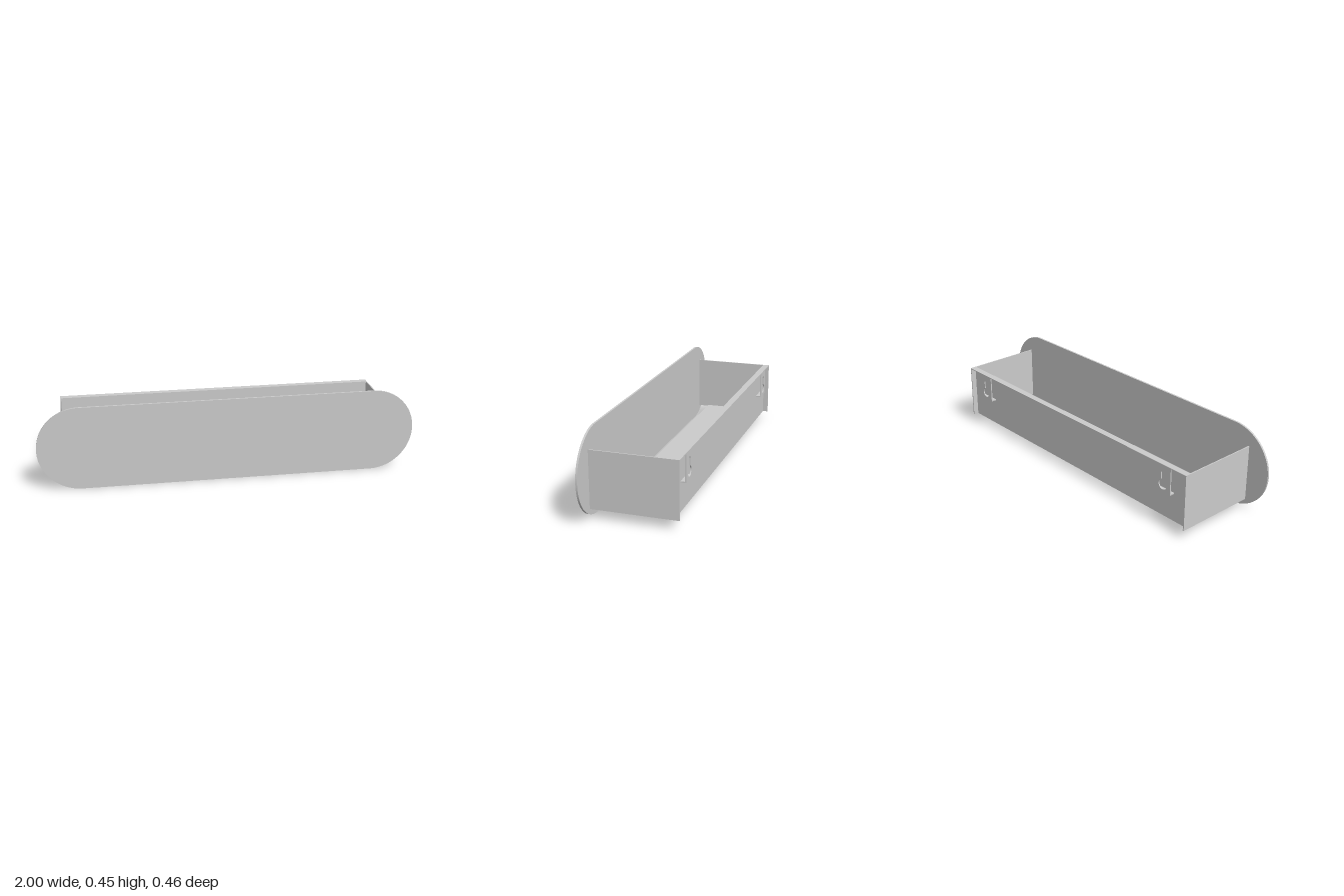
import * as THREE from 'three';

const T = 0.006;                       // sheet thickness
const BOTTOM = 0.05, TOP = 0.35;       // height range of the tray
const BACK = -0.23, FRONT = 0.22;      // depth range of the tray
const HALF = 0.873;                    // half length of the tray
const RECESS = -0.195;                 // rear wall, set in from the back edge

export function createModel() {
  const group = new THREE.Group();
  group.name = 'wallShelf';
  const material = new THREE.MeshStandardMaterial({ color: 0xcccccc });

  const add = (name, geometry) => {
    const mesh = new THREE.Mesh(geometry, material);
    mesh.name = name;
    group.add(mesh);
    return mesh;
  };
  // Box given by its minimum and maximum corners
  const box = (name, x0, x1, y0, y1, z0, z1) =>
    add(name, new THREE.BoxGeometry(x1 - x0, y1 - y0, z1 - z0))
      .position.set((x0 + x1) / 2, (y0 + y1) / 2, (z0 + z1) / 2);

  // Front panel with fully rounded ends
  const r = 0.225;
  const panel = new THREE.Shape();
  panel.moveTo(-1 + r, 0);
  panel.lineTo(1 - r, 0);
  panel.absarc(1 - r, r, r, -Math.PI / 2, Math.PI / 2, false);
  panel.lineTo(-1 + r, 2 * r);
  panel.absarc(-1 + r, r, r, Math.PI / 2, Math.PI * 1.5, false);
  add('frontPanel', new THREE.ExtrudeGeometry(panel, {
    depth: 0.23 - FRONT, bevelEnabled: false, curveSegments: 40,
  })).position.z = FRONT;

  // Rear wall and the lip folded back from its top edge
  const inner = HALF - T;
  box('rearWall', -inner, inner, BOTTOM, TOP - T, RECESS - T, RECESS);
  box('topLip', -inner, inner, TOP - T, TOP, BACK, RECESS);

  // Two floor slats with open gaps between them
  for (const [z0, z1] of [[-0.14, -0.02], [0.04, 0.16]]) {
    box('floorSlat', -inner, inner, BOTTOM, BOTTOM + T, z0, z1);
  }

  // Hanging tab: plate with a keyhole, wide at the bottom
  const tabBottom = 0.2, tabHalf = 0.05;
  const tab = new THREE.Shape();
  tab.moveTo(-tabHalf, tabBottom);
  tab.lineTo(tabHalf, tabBottom);
  tab.lineTo(tabHalf, TOP - T);
  tab.lineTo(-tabHalf, TOP - T);
  tab.closePath();
  const holeR = 0.027, slotR = 0.013, holeY = 0.242, slotY = 0.302;
  const a = Math.acos(slotR / holeR);
  const keyhole = new THREE.Path();
  keyhole.absarc(0, holeY, holeR, a, Math.PI - a, true);
  keyhole.absarc(0, slotY, slotR, Math.PI, 0, true);
  keyhole.closePath();
  tab.holes.push(keyhole);
  const tabGeometry = new THREE.ExtrudeGeometry(tab, {
    depth: T, bevelEnabled: false, curveSegments: 20,
  });

  // Side walls, and a tab with its folded foot near each end
  for (const s of [-1, 1]) {
    const wallX = s * (HALF - T / 2), tabX = s * 0.724;
    box('sideWall', wallX - T / 2, wallX + T / 2, BOTTOM, TOP, BACK, FRONT);
    add('hangingTab', tabGeometry).position.set(tabX, 0, BACK);
    box('tabFoot', tabX - tabHalf, tabX + tabHalf, tabBottom, tabBottom + T, BACK + T, RECESS - T);
  }
  return group;
}
